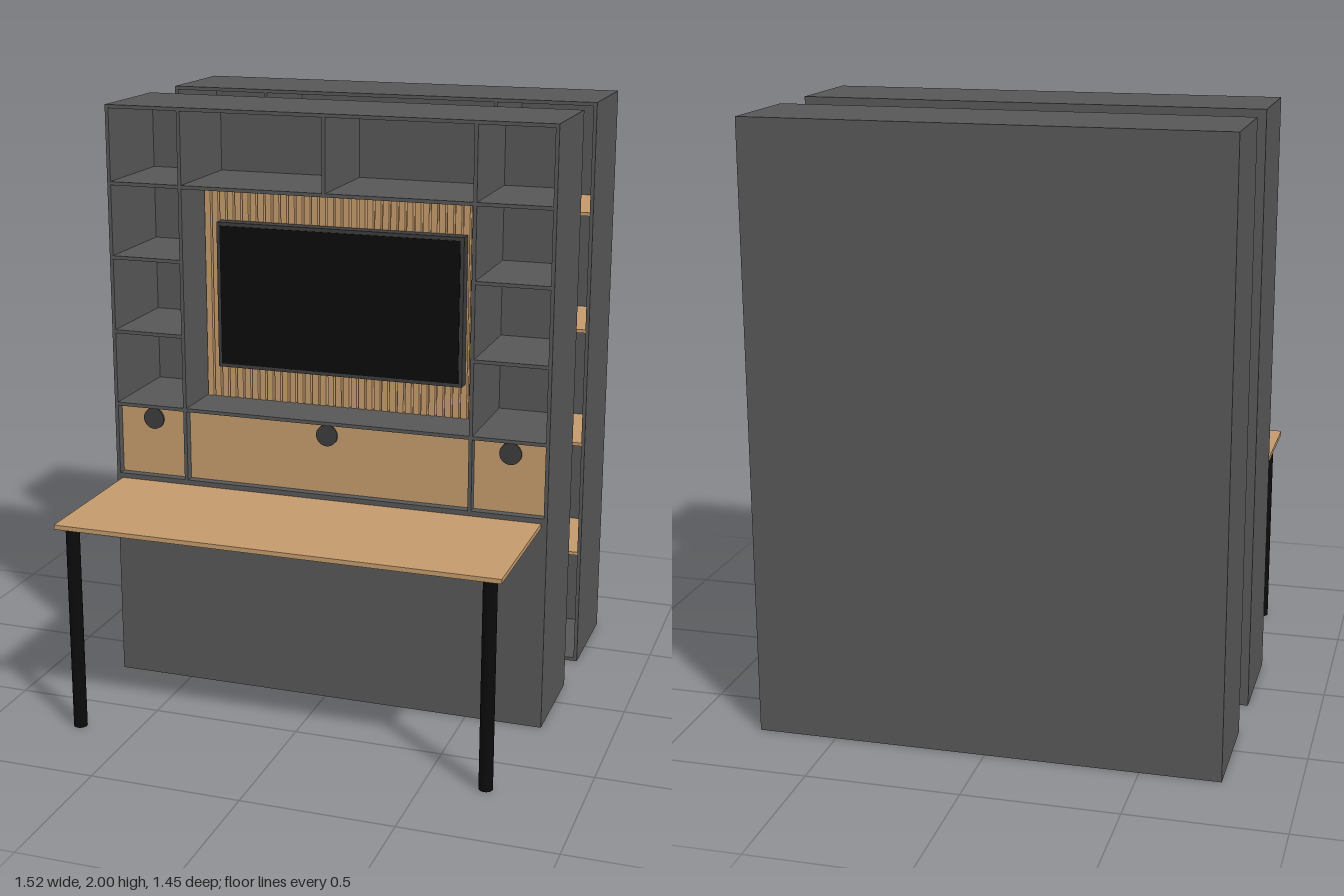
import * as THREE from 'three';

const mat = (name, color) => {
  const m = new THREE.MeshStandardMaterial({ color });
  m.name = name;
  return m;
};

export function createModel() {
  const grey = mat('graphite grey', 0x575757);
  const wood = mat('oak wood', 0xc49a6c);
  const black = mat('black', 0x0b0b0b);
  const dark = mat('dark grey', 0x3c3c3c);

  const root = new THREE.Group();
  root.name = 'wallUnitWithDesk';
  const group = (name) => {
    const g = new THREE.Group();
    g.name = name;
    root.add(g);
    return g;
  };
  // Box given by its lower and upper limits on each axis
  const box = (parent, name, m, x0, x1, y0, y1, z0, z1) => {
    const mesh = new THREE.Mesh(new THREE.BoxGeometry(x1 - x0, y1 - y0, z1 - z0), m);
    mesh.position.set((x0 + x1) / 2, (y0 + y1) / 2, (z0 + z1) / 2);
    mesh.name = name;
    parent.add(mesh);
    return mesh;
  };

  const W = 0.76, T = 0.012, H = 2;
  // Open-fronted carcass: sides, top and back
  const carcass = (parent, z0, z1, yBottom) => {
    for (const s of [-1, 1]) {
      const x = s * (W - T / 2);
      box(parent, 'sidePanel', grey, x - T / 2, x + T / 2, yBottom, H, z0, z1);
    }
    box(parent, 'topPanel', grey, -W + T, W - T, H - T, H, z0, z1);
    box(parent, 'backPanel', grey, -W + T, W - T, yBottom, H - T, z0, z0 + T);
  };

  // Front cabinet
  const front = group('frontCabinet');
  const zb = -0.15, zf = 0.21, zi = zb + T;
  const base = 0.72, colX = 0.5, inner = W - T;
  carcass(front, zb, zf, base);
  box(front, 'basePanel', grey, -W, W, 0, base, zb, zf);
  for (const s of [-1, 1]) {
    box(front, 'columnDivider', grey, s * colX - T / 2, s * colX + T / 2, base, H - T, zi, zf);
    const a = s < 0 ? -inner : colX + T / 2;
    const b = s < 0 ? -colX - T / 2 : inner;
    for (const y of [0.98, 1.235, 1.49, 1.74]) {
      box(front, 'sideShelf', grey, a, b, y - T / 2, y + T / 2, zi, zf);
    }
  }
  const cx = colX - T / 2;
  for (const y of [0.98, 1.74]) {
    box(front, 'centreShelf', grey, -cx, cx, y - T / 2, y + T / 2, zi, zf);
  }
  box(front, 'topDivider', grey, -T / 2, T / 2, 1.746, H - T, zi, zf);
  box(front, 'sill', grey, -W, W, base, base + T, zi, zf);

  // Wooden panels above the desk with round cable outlets
  const niche = group('deskSplashback');
  for (const [a, b, g] of [[-inner, -colX - T / 2, -0.627], [-cx, cx, 0], [colX + T / 2, inner, 0.627]]) {
    box(niche, 'splashPanel', wood, a, b, base + T, 0.974, 0.15, 0.18);
    const outlet = new THREE.Mesh(new THREE.CylinderGeometry(0.037, 0.037, 0.008, 32), dark);
    outlet.name = 'cableOutlet';
    outlet.rotation.x = Math.PI / 2;
    outlet.position.set(g, 0.932, 0.182);
    niche.add(outlet);
  }

  // Slatted wall behind the screen
  const wall = group('slatWall');
  box(wall, 'slatBacking', wood, -cx, cx, 0.986, 1.734, -0.02, 0.005);
  const slats = 36, pitch = (2 * cx) / slats;
  for (let i = 0; i < slats; i++) {
    const x = -cx + (i + 0.5) * pitch;
    box(wall, 'slat', wood, x - pitch * 0.38, x + pitch * 0.38, 0.986, 1.734, 0.005, 0.025);
  }

  // Screen
  const tv = group('television');
  box(tv, 'screenFrame', dark, -0.43, 0.43, 1.105, 1.605, 0.025, 0.07);
  box(tv, 'screen', black, -0.418, 0.418, 1.117, 1.593, 0.07, 0.073);

  // Desk
  const desk = group('desk');
  box(desk, 'deskTop', wood, -0.74, 0.74, 0.7, 0.715, zf, 0.725);
  for (const s of [-1, 1]) {
    const leg = new THREE.Mesh(new THREE.CylinderGeometry(0.0225, 0.0225, 0.7, 24), black);
    leg.name = 'deskLeg';
    leg.position.set(s * 0.695, 0.35, 0.683);
    desk.add(leg);
  }

  // Rear cabinet with three columns of wooden shelves
  const rear = group('rearCabinet');
  const rb = -0.725, rf = -0.36, rd = 0.415;
  carcass(rear, rb, rf, 0);
  box(rear, 'bottomPanel', grey, -inner, inner, 0, T, rb + T, rf);
  for (const s of [-1, 1]) {
    box(rear, 'rearDivider', grey, s * rd - T / 2, s * rd + T / 2, T, H - T, rb + T, rf);
  }
  for (const [a, b] of [[-inner, -rd - T / 2], [-rd + T / 2, rd - T / 2], [rd + T / 2, inner]]) {
    for (const y of [0.41, 0.815, 1.22, 1.625]) {
      box(rear, 'rearShelf', wood, a, b, y - T / 2, y + T / 2, rb + T, rf);
    }
  }
  return root;
}
